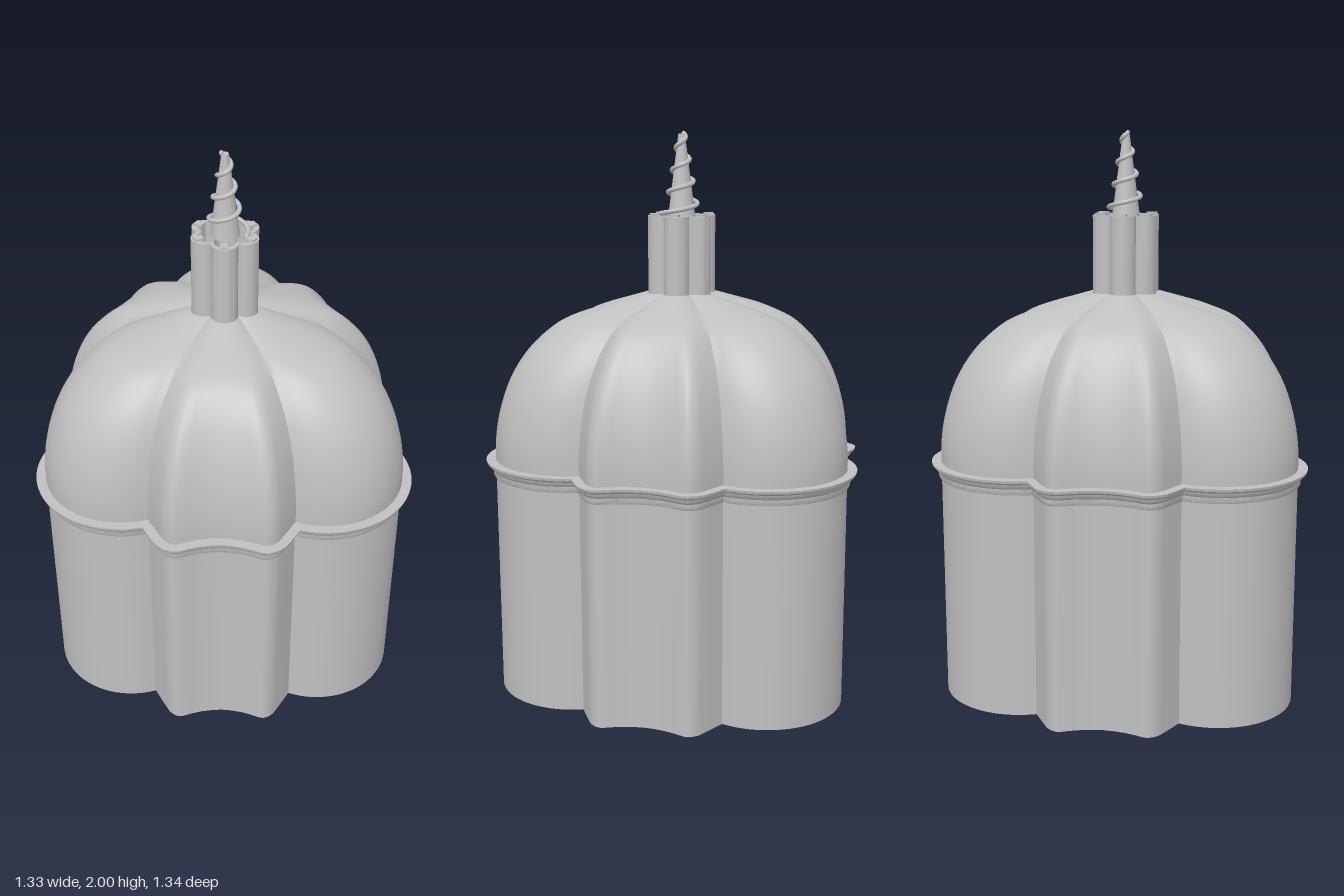
import * as THREE from 'three';
import { toCreasedNormals } from 'three/addons/utils/BufferGeometryUtils.js';

const CENTRE_Z = 0.045;
const DEG = Math.PI / 180;
const SMALL = 0.195; // dome plan scale where it meets the neck

// Plan: three round lobes alternating with three concave bays (x, z about the axis)
function planOutline() {
  const pts = [];
  const half = [[0.25, 0.465], [0.225, 0.509], [0.2, 0.552], [0.19, 0.567], [0.174, 0.58],
    [0.158, 0.587], [0.143, 0.586], [0.11, 0.573], [0.075, 0.562], [0.037, 0.555]];
  const bay = [...half.map(([x, z]) => [-x, z]), [0, 0.552], ...half.slice().reverse()];
  const turn = ([x, z], a) => new THREE.Vector2(
    x * Math.cos(a) + z * Math.sin(a), z * Math.cos(a) - x * Math.sin(a));
  const n = 32, sweep = 80.6 * DEG;
  for (let k = 0; k < 3; k++) {
    const a = k * 120 * DEG;
    bay.forEach(p => pts.push(turn(p, a)));
    for (let i = 1; i < n; i++) {
      const b = -sweep + 2 * sweep * i / n;
      pts.push(turn([0.281 * Math.sin(b), 0.404 + 0.281 * Math.cos(b)], a + 60 * DEG));
    }
  }
  return pts;
}

// Move an outline outwards by d with mitred corners
function offset(pts, d) {
  const n = pts.length;
  const normal = (p, q) => new THREE.Vector2(-(q.y - p.y), q.x - p.x).normalize();
  return pts.map((p, i) => {
    const n1 = normal(pts[(i + n - 1) % n], p), n2 = normal(p, pts[(i + 1) % n]);
    const m = n1.clone().add(n2).normalize();
    return p.clone().addScaledVector(m, d / Math.max(0.5, m.dot(n1)));
  });
}

// Six-lobed flower radius at a given angle
function flower(a) {
  const step = 60 * DEG;
  const b = a - Math.round(a / step) * step;
  return 0.078 * Math.cos(b) + Math.sqrt(0.045 ** 2 - (0.078 * Math.sin(b)) ** 2);
}

// Skin a list of rings { pts, y }; closed joins the last ring to the first
function loft(rings, closed, crease = 0.5) {
  const pos = [], n = rings[0].pts.length;
  const put = (r, i) => pos.push(r.pts[i % n].x, r.y, r.pts[i % n].y);
  const last = closed ? rings.length : rings.length - 1;
  for (let j = 0; j < last; j++) {
    const r = rings[j], t = rings[(j + 1) % rings.length];
    for (let i = 0; i < n; i++) {
      put(r, i); put(r, i + 1); put(t, i + 1);
      put(r, i); put(t, i + 1); put(t, i);
    }
  }
  const g = new THREE.BufferGeometry();
  g.setAttribute('position', new THREE.Float32BufferAttribute(pos, 3));
  return toCreasedNormals(g, crease);
}

export function createModel() {
  const group = new THREE.Group();
  const stone = new THREE.MeshStandardMaterial({ color: 0xc0c0c0 });
  stone.name = 'stone grey';
  const add = (name, geometry) => {
    const mesh = new THREE.Mesh(geometry, stone);
    mesh.name = name;
    mesh.position.z = CENTRE_Z;
    group.add(mesh);
    return mesh;
  };

  const plan = planOutline();
  const inner = offset(plan, -0.035);

  // Hollow drum wall
  add('drumWall', loft([
    { pts: plan, y: 0 }, { pts: plan, y: 0.85 },
    { pts: inner, y: 0.85 }, { pts: inner, y: 0 }], true));

  // Cornice moulding that follows the plan
  const moulding = [[-0.01, 0.798], [0.006, 0.8], [0.01, 0.808], [0.01, 0.822], [0.016, 0.828],
    [0.02, 0.84], [0.032, 0.848], [0.034, 0.857], [-0.01, 0.857]];
  add('cornice', loft(moulding.map(([d, y]) => ({ pts: offset(plan, d), y })), true));

  // Dome: the plan shrinks upwards and turns into the flower of the neck
  const curve = new THREE.CatmullRomCurve3([[1, 0.85], [0.998, 0.92], [0.975, 1.02], [0.915, 1.14],
    [0.82, 1.243], [0.69, 1.325], [0.61, 1.355], [0.485, 1.383], [0.33, 1.41], [SMALL, 1.435]]
    .map(([s, y]) => new THREE.Vector3(s, y, 0)), false, 'centripetal');
  const domeRing = (base, s, y, k) => {
    const w = THREE.MathUtils.smoothstep(1 - s, 0.05, 1 - SMALL);
    return {
      y,
      pts: base.map(p => {
        const r = k * flower(Math.atan2(p.x, p.y)) * s / SMALL;
        return p.clone().multiplyScalar(THREE.MathUtils.lerp(s, r / p.length(), w));
      }),
    };
  };
  const samples = curve.getPoints(36);
  const outside = samples.map(p => domeRing(plan, p.x, p.y, 1.04));
  const inside = samples.map(p => domeRing(inner, p.x, p.y - 0.03 * (1 - p.x), 0.85)).reverse();
  add('dome', loft([...outside, ...inside], true));

  // Hollow fluted neck
  const neckRing = (k, y) => ({
    y,
    pts: Array.from({ length: 96 }, (_, i) => {
      const a = i / 96 * Math.PI * 2, r = flower(a) * k;
      return new THREE.Vector2(r * Math.sin(a), r * Math.cos(a));
    }),
  });
  add('neck', loft([neckRing(1, 1.41), neckRing(1, 1.708),
    neckRing(0.84, 1.708), neckRing(0.84, 1.41)], true));

  // Six slats lining the neck
  for (let i = 0; i < 6; i++) {
    const slat = new THREE.BoxGeometry(0.028, 0.295, 0.03);
    slat.translate(0, 1.568, 0.1).rotateY(i * 60 * DEG);
    add('neckSlat', slat);
  }

  // Tapering spire
  const spire = new THREE.CylinderGeometry(0.012, 0.05, 0.29, 12);
  add('spire', spire.translate(0, 1.845, 0));

  // Spiral winding up the spire, with a loose tail at its foot
  const path = [];
  const turns = 3.6;
  for (let i = 0; i <= 90; i++) {
    const t = i / 90, a = 60 * DEG + t * turns * Math.PI * 2;
    const r = THREE.MathUtils.lerp(0.062, 0.012, t) + 0.02 * Math.max(0, 1 - t * 12);
    path.push(new THREE.Vector3(r * Math.sin(a), 1.715 + 0.277 * t, r * Math.cos(a)));
  }
  const spiral = new THREE.CatmullRomCurve3(path);
  add('spiral', new THREE.TubeGeometry(spiral, 180, 0.008, 8, false));
  [path[0], path[90]].forEach(p => {
    add('spiralEnd', new THREE.SphereGeometry(0.008, 8, 6).translate(p.x, p.y, p.z));
  });

  return group;
}
